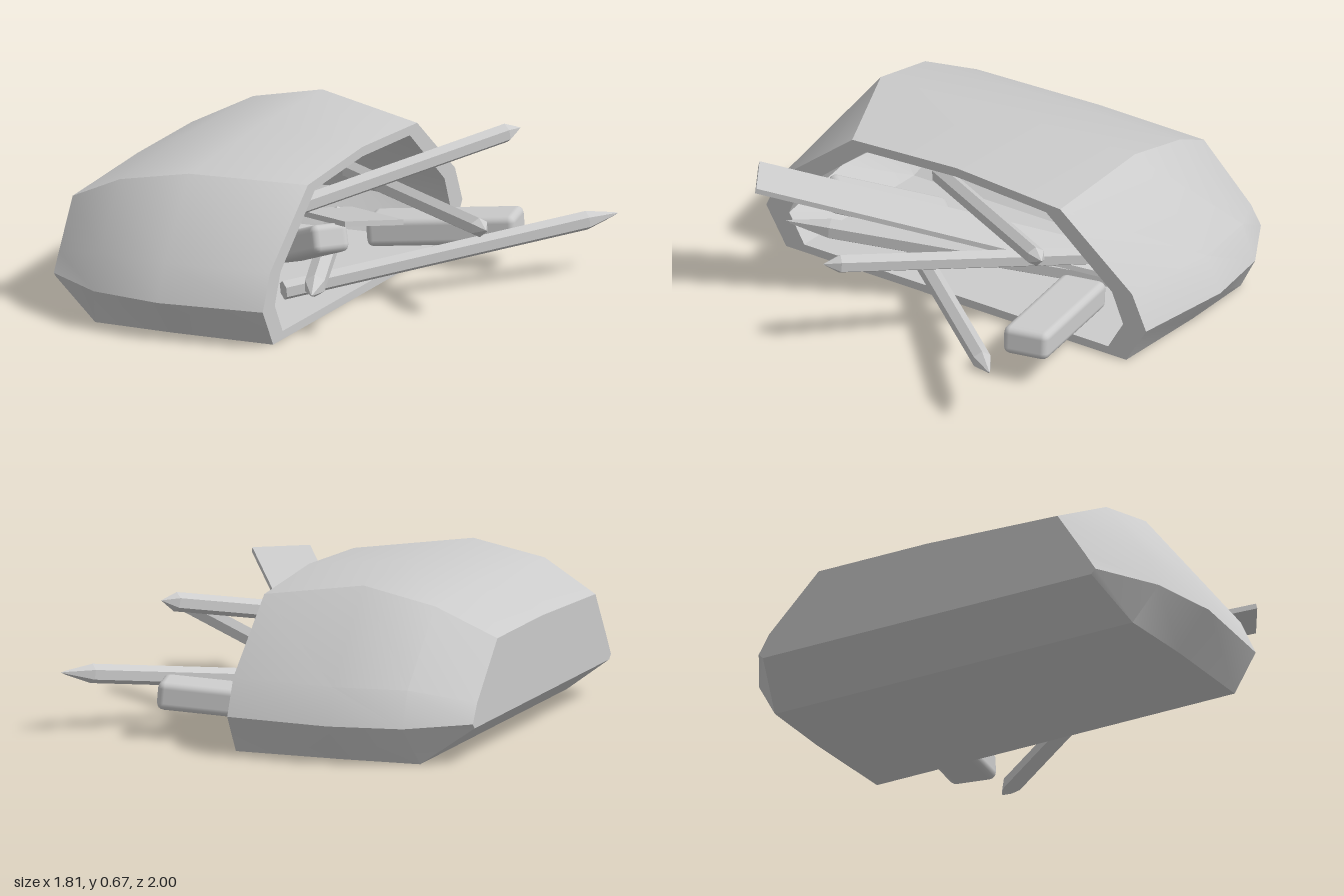
import * as THREE from 'three';
import { toCreasedNormals } from 'three/addons/utils/BufferGeometryUtils.js';
import { RoundedBoxGeometry } from 'three/addons/geometries/RoundedBoxGeometry.js';

const material = new THREE.MeshStandardMaterial({ color: 0xcccccc });
const flatMaterial = new THREE.MeshStandardMaterial({ color: 0xcccccc, flatShading: true });

// Nine [z, y] points over the pouch: bottom, side, shoulder, crease on each side, ridge between.
function section(x, bottom, side, shoulder, frontCrease, ridgeY, backCrease) {
  const low = [bottom, side, shoulder];
  const mirrored = low.map(([z, y]) => [-z, y]).reverse();
  return [...low, frontCrease, [0, ridgeY], backCrease, ...mirrored].map(([z, y]) => [x, y, z]);
}

// Moves a section inwards to give the wall its thickness.
function inset(ring, x, k = 0.89) {
  return ring.map(([, y, z]) => [x, 0.25 + (y - 0.25) * k, z * k]);
}

// Skins a chain of rings and closes both ends.
function loft(rings) {
  const n = rings[0].length;
  const index = [];
  for (let i = 0; i < rings.length - 1; i++) {
    for (let j = 0; j < n; j++) {
      const a = i * n + j, b = i * n + (j + 1) % n;
      index.push(a, a + n, b, b, a + n, b + n);
    }
  }
  const last = (rings.length - 1) * n;
  for (let j = 1; j < n - 1; j++) {
    index.push(0, j, j + 1, last, last + j + 1, last + j);
  }
  const geometry = new THREE.BufferGeometry();
  geometry.setAttribute('position', new THREE.Float32BufferAttribute(rings.flat(2), 3));
  geometry.setIndex(index);
  return toCreasedNormals(geometry, 0.55);
}

function createPouch() {
  const end = section(-0.91, [0.78, 0.15], [0.8, 0.17], [0.75, 0.25], [0.62, 0.45], 0.475, [-0.515, 0.475]);
  const back = section(-0.66, [0.85, 0], [0.95, 0.16], [0.89, 0.31], [0.7, 0.57], 0.6, [-0.57, 0.6]);
  back[0][0] = back[8][0] = -0.7;
  const belly = section(-0.35, [0.86, 0], [1, 0.16], [0.93, 0.31], [0.7, 0.63], 0.665, [-0.57, 0.665]);
  const mouth = section(0.1, [0.85, 0], [0.95, 0.16], [0.88, 0.31], [0.52, 0.59], 0.62, [-0.52, 0.59]);
  const lip = section(0.1, [0.76, 0.035], [0.835, 0.16], [0.78, 0.29], [0.45, 0.555], 0.58, [-0.45, 0.555]);
  const rings = [end, back, belly, mouth, lip, inset(belly, -0.35), inset(back, -0.66), inset(end, -0.84)];
  const mesh = new THREE.Mesh(loft(rings), material);
  mesh.name = 'pouch';
  return mesh;
}

// Lays a mesh modelled along z between two points.
function place(mesh, name, from, to) {
  mesh.name = name;
  mesh.position.copy(from).lerp(to, 0.5);
  mesh.lookAt(to);
  return mesh;
}

// Hexagonal pencil with a sharpened end at the second point.
function pencil(name, start, tip, radius, point, nib) {
  const from = new THREE.Vector3(...start), to = new THREE.Vector3(...tip);
  const h = from.distanceTo(to) / 2;
  const profile = [[0, -h], [radius, -h], [radius, h - point], [nib, h - 0.02], [0, h]]
    .map(([r, y]) => new THREE.Vector2(r, y));
  const geometry = new THREE.LatheGeometry(profile, 6).rotateX(Math.PI / 2);
  return place(new THREE.Mesh(geometry, flatMaterial), name, from, to);
}

// Bar between two points, with rounded edges when bevel is above zero.
function bar(name, start, end, width, height, bevel) {
  const from = new THREE.Vector3(...start), to = new THREE.Vector3(...end);
  const length = from.distanceTo(to);
  const geometry = bevel
    ? new RoundedBoxGeometry(width, height, length, 2, bevel)
    : new THREE.BoxGeometry(width, height, length);
  return place(new THREE.Mesh(geometry, material), name, from, to);
}

export function createModel() {
  const group = new THREE.Group();
  group.name = 'pencilCase';
  group.add(
    createPouch(),
    pencil('lowPencil', [-0.09, 0.08, 0.35], [0.9, 0.25, -0.74], 0.04, 0.14, 0.008),
    pencil('middlePencil', [-0.31, 0.285, -0.75], [0.75, 0.395, 0.2], 0.04, 0.07, 0.012),
    pencil('highPencil', [-0.25, 0.34, 0.33], [0.48, 0.57, -0.7], 0.04, 0.07, 0.012),
    pencil('frontPencil', [-0.32, 0.11, -0.65], [0.23, 0.2, 0.76], 0.046, 0.19, 0.008),
    bar('ruler', [-0.41, 0.115, -0.7], [0.49, 0.525, 0.715], 0.24, 0.022, 0),
    bar('backEraser', [-0.1, 0.13, -0.5], [0.51, 0.18, -0.635], 0.2, 0.12, 0.03),
    bar('frontEraser', [-0.14, 0.22, 0.22], [0.22, 0.39, 0.55], 0.16, 0.12, 0.03),
  );
  return group;
}
